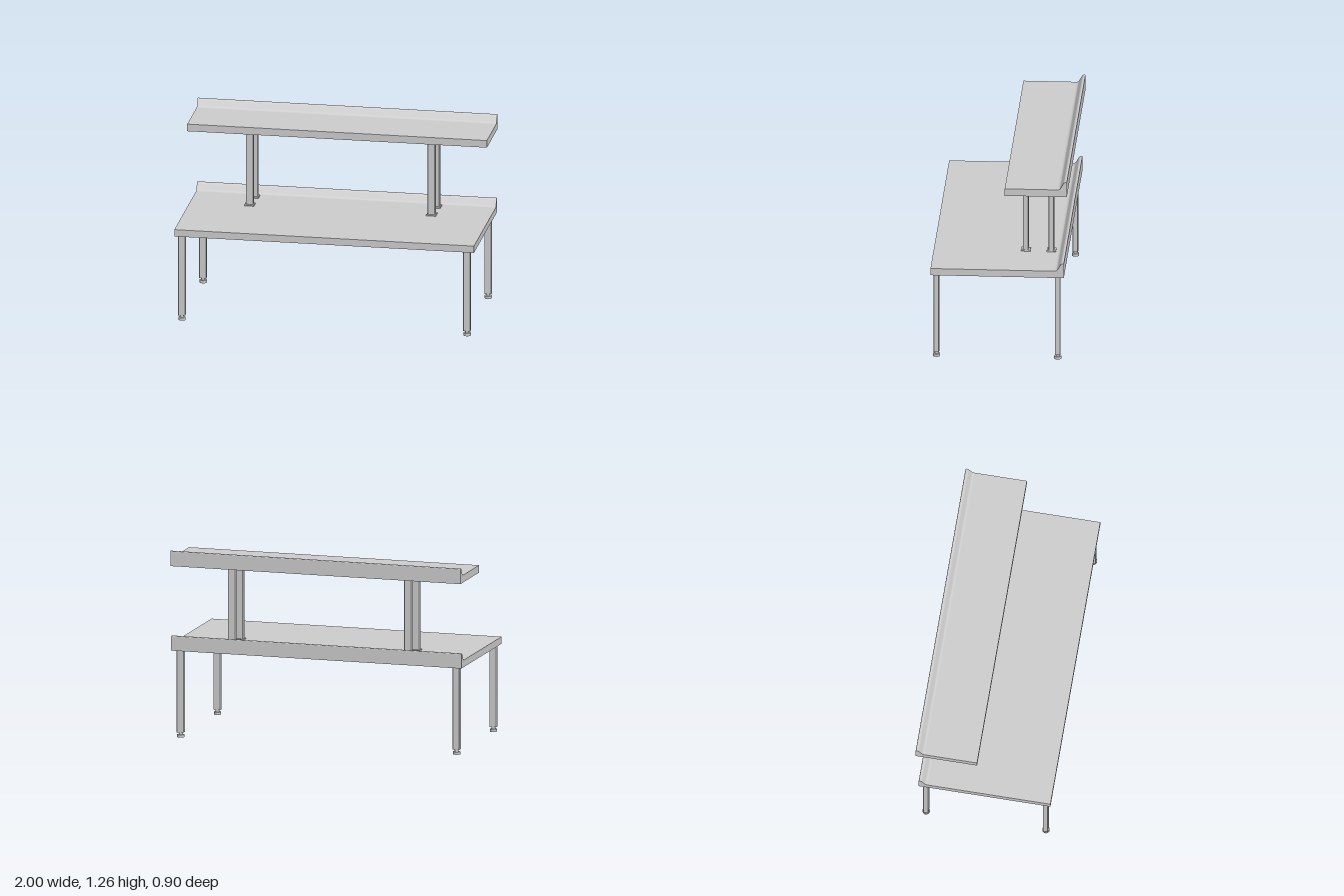
import * as THREE from 'three';

const mat = new THREE.MeshStandardMaterial({ color: 0xcccccc, flatShading: true });

function add(group, name, geo, x, y, z) {
  const m = new THREE.Mesh(geo, mat);
  m.name = name;
  m.position.set(x, y, z);
  group.add(m);
  return m;
}

// Slab with a raised, round-topped rear lip; the profile (-z, y) is swept along x
function slab(front, back, y0, y1) {
  const b = -back;
  const s = new THREE.Shape();
  s.moveTo(-front, y0);
  s.lineTo(b, y0);
  s.lineTo(b, y1 + 0.045);
  s.quadraticCurveTo(b, y1 + 0.053, b - 0.009, y1 + 0.053);
  s.quadraticCurveTo(b - 0.017, y1 + 0.052, b - 0.022, y1 + 0.044);
  s.lineTo(b - 0.042, y1 + 0.01);
  s.quadraticCurveTo(b - 0.048, y1, b - 0.062, y1);
  s.lineTo(-front, y1);
  s.closePath();
  const g = new THREE.ExtrudeGeometry(s, { depth: 2, bevelEnabled: false, curveSegments: 6 });
  g.translate(0, 0, -1);
  g.rotateY(Math.PI / 2); // profile x becomes -z
  return g;
}

// Upright bar with slightly rounded corners, standing on y = 0
function bar(w, d, h, r = 0.005) {
  const s = new THREE.Shape();
  const x = w / 2, y = d / 2;
  s.absarc(x - r, y - r, r, 0, Math.PI / 2);
  s.absarc(-x + r, y - r, r, Math.PI / 2, Math.PI);
  s.absarc(-x + r, -y + r, r, Math.PI, Math.PI * 1.5);
  s.absarc(x - r, -y + r, r, Math.PI * 1.5, Math.PI * 2);
  const g = new THREE.ExtrudeGeometry(s, { depth: h, bevelEnabled: false, curveSegments: 3 });
  g.rotateX(-Math.PI / 2);
  return g;
}

export function createModel() {
  const model = new THREE.Group();
  model.name = 'workTable';

  add(model, 'tableTop', slab(0.449, -0.429, 0.584, 0.631), 0, 0, 0);
  add(model, 'upperShelf', slab(-0.04, -0.449, 1.154, 1.203), 0, 0, 0);

  // Four legs with levelling feet
  const legGeo = bar(0.048, 0.036, 0.552);
  const neckGeo = new THREE.CylinderGeometry(0.013, 0.013, 0.02, 20);
  const footGeo = new THREE.CylinderGeometry(0.024, 0.024, 0.018, 24);
  for (const x of [-0.955, 0.948]) {
    for (const z of [0.412, -0.386]) {
      const leg = new THREE.Group();
      leg.name = 'leg';
      leg.position.set(x, 0, z);
      add(leg, 'legBar', legGeo, 0, 0.033, 0);
      add(leg, 'footNeck', neckGeo, 0, 0.025, 0);
      add(leg, 'foot', footGeo, 0, 0.009, 0);
      model.add(leg);
    }
  }

  // Paired shelf posts with a flange at each end
  const postGeo = bar(0.05, 0.036, 0.523);
  const flangeGeo = new THREE.BoxGeometry(0.064, 0.008, 0.061);
  for (const x of [-0.602, 0.612]) {
    for (const z of [-0.156, -0.325]) {
      const post = new THREE.Group();
      post.name = 'shelfPost';
      post.position.set(x, 0, z);
      add(post, 'postBar', postGeo, 0, 0.631, 0);
      add(post, 'lowerFlange', flangeGeo, 0, 0.635, 0);
      add(post, 'upperFlange', flangeGeo, 0, 1.15, 0);
      model.add(post);
    }
  }
  return model;
}
